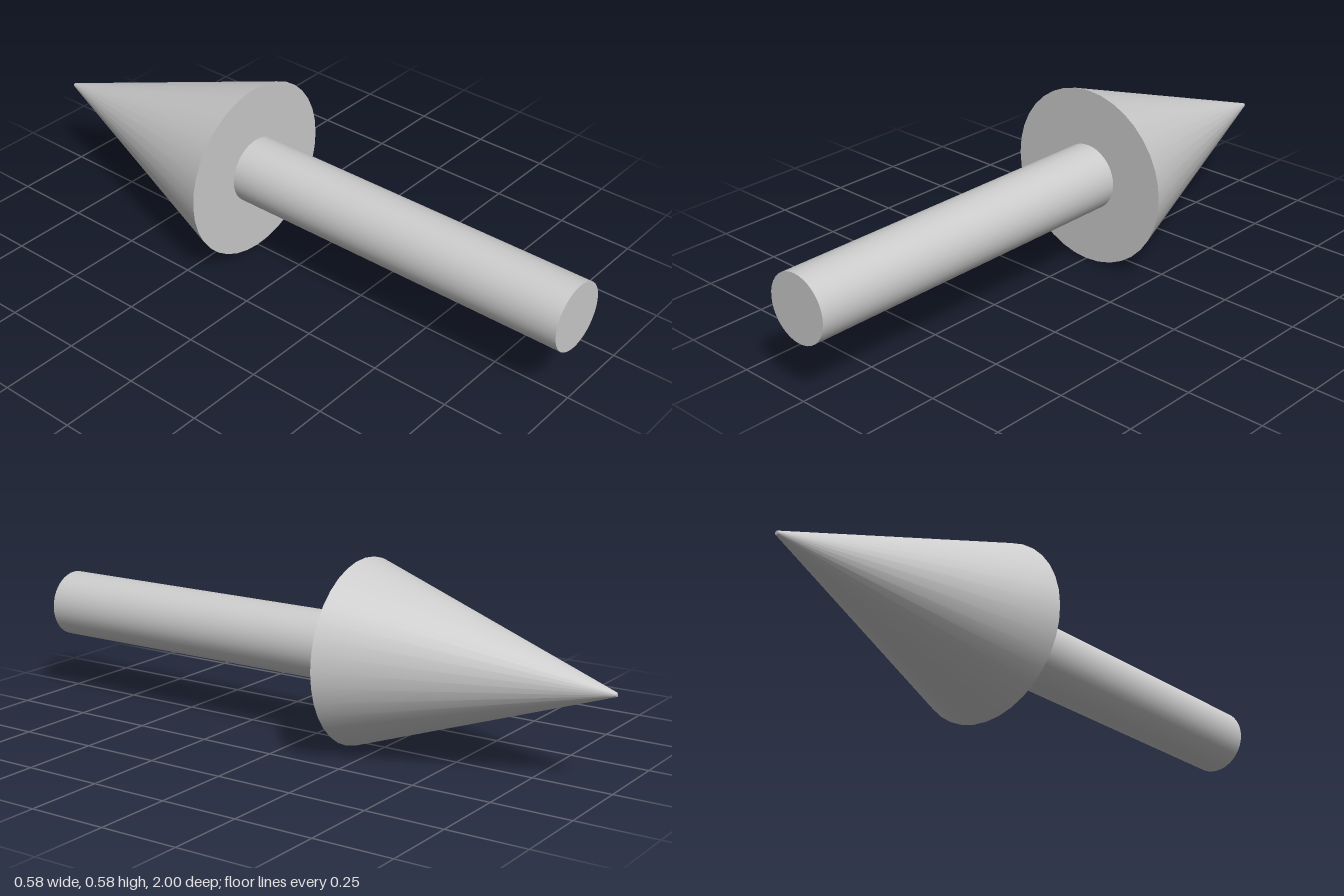
import * as THREE from 'three';

const RADIUS = 0.289; // arrowhead base radius, also the height of the axis
const SEGMENTS = 36;

export function createModel() {
  const group = new THREE.Group();
  group.name = 'arrow';
  const material = new THREE.MeshStandardMaterial({ color: 0xcccccc });

  // Round part lying along z, from zFront to zBack
  const addRound = (name, rFront, rBack, zFront, zBack) => {
    const geometry = new THREE.CylinderGeometry(rBack, rFront, zFront - zBack, SEGMENTS);
    geometry.rotateX(-Math.PI / 2);
    const mesh = new THREE.Mesh(geometry, material);
    mesh.name = name;
    mesh.position.set(0, RADIUS, (zFront + zBack) / 2);
    group.add(mesh);
  };

  // Straight shaft, butted against the base of the head
  addRound('shaft', 0.107, 0.107, 1, -0.175);

  // Conical head with a tiny blunt tip
  addRound('arrowhead', RADIUS, 0.006, -0.175, -1);

  return group;
}
